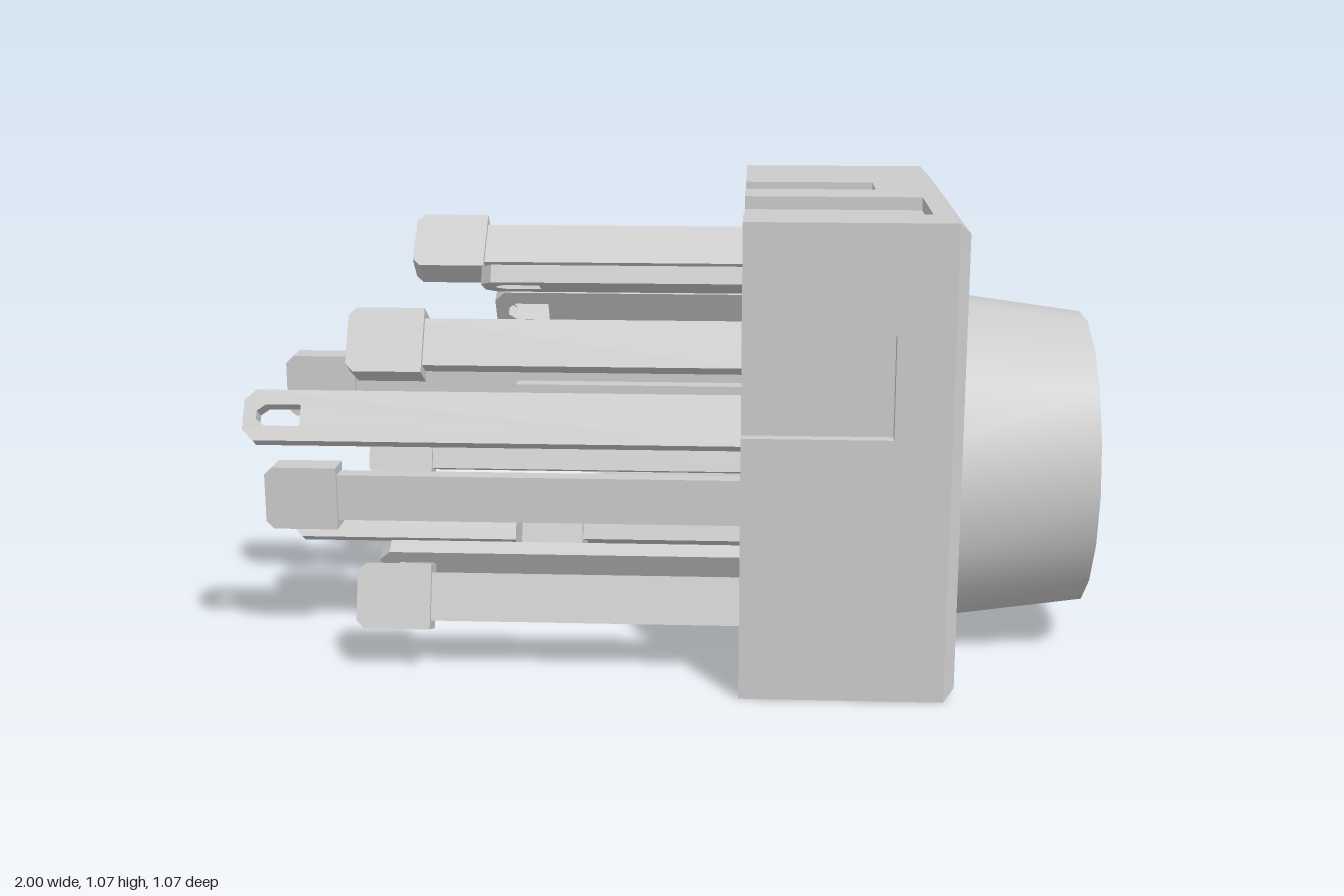
import * as THREE from 'three';
import { toCreasedNormals } from 'three/addons/utils/BufferGeometryUtils.js';
import { ConvexGeometry } from 'three/addons/geometries/ConvexGeometry.js';

const material = new THREE.MeshStandardMaterial({ color: 0xcccccc });
const flat = new THREE.MeshStandardMaterial({ color: 0xcccccc, flatShading: true });

const REAR = 0.19, BEVEL = 0.645, FACE = 0.67, HEIGHT = 1.07, HALF = HEIGHT / 2, NOTCH = 0.03;

function add(parent, name, geometry, mat = flat) {
  const mesh = new THREE.Mesh(geometry, mat);
  mesh.name = name;
  parent.add(mesh);
  return mesh;
}

const polygon = (points, Type = THREE.Shape) =>
  new Type(points.map(([x, y]) => new THREE.Vector2(x, y)));

const extrude = (shape, depth) =>
  new THREE.ExtrudeGeometry(shape, { depth, bevelEnabled: false });

// Side wall of the housing, with notches [from, to, inner x] open to the rear
function wall(from, to, notches) {
  const points = [[BEVEL, from], [BEVEL, to], [REAR, to]];
  for (const [a, b, x] of notches) points.push([REAR, b], [x, b], [x, a], [REAR, a]);
  points.push([REAR, from]);
  return extrude(polygon(points), NOTCH);
}

// Flat bar along x with its free end chamfered, optionally with an eyelet
function bar(tip, end, width, thick, chamfer, eyelet) {
  const w = width / 2;
  const shape = polygon([
    [end, -w], [end, w], [tip + chamfer, w], [tip, w - chamfer],
    [tip, chamfer - w], [tip + chamfer, -w],
  ]);
  if (eyelet) {
    const h = 0.025, a = tip + 0.03, b = tip + 0.13;
    shape.holes.push(polygon([
      [a, -0.01], [a + 0.02, -h], [b, -h], [b, h], [a + 0.02, h], [a, 0.01],
    ], THREE.Path));
  }
  return extrude(shape, thick).translate(0, 0, -thick / 2);
}

function createHousing() {
  const group = new THREE.Group();
  group.name = 'housing';
  const inner = HEIGHT - 2 * NOTCH;
  add(group, 'housingCore', new THREE.BoxGeometry(BEVEL - REAR, inner, inner)
    .translate((BEVEL + REAR) / 2, HALF, 0));

  // Notched walls, notches listed in order of descending position
  add(group, 'topWall', wall(-HALF, HALF, [[0.11, 0.4, 0.6], [-0.17, -0.03, 0.5]])
    .rotateX(Math.PI / 2).translate(0, HEIGHT, 0));
  add(group, 'bottomWall', wall(-HALF, HALF, [[-0.33, 0.03, 0.52]])
    .rotateX(Math.PI / 2).translate(0, NOTCH, 0));
  add(group, 'frontWall', wall(NOTCH, HEIGHT - NOTCH, [[0.6, 0.83, 0.52]])
    .translate(0, 0, HALF - NOTCH));
  add(group, 'backWall', wall(NOTCH, HEIGHT - NOTCH,
    [[0.8, 0.88, 0.635], [0.52, 0.69, 0.46], [0.06, 0.35, 0.58]])
    .translate(0, 0, -HALF));

  // Bevelled face plate
  const r = HALF * Math.SQRT2;
  add(group, 'facePlate', new THREE.CylinderGeometry(r - 0.025 * Math.SQRT2, r, FACE - BEVEL, 4)
    .rotateY(Math.PI / 4).rotateZ(-Math.PI / 2).translate((FACE + BEVEL) / 2, HALF, 0));
  return group;
}

function createKnob() {
  const group = new THREE.Group();
  group.name = 'knob';
  // Tapered body with a shallow dished end
  const profile = [[0.397, FACE], [0.352, 1], [0.24, 1], [0.18, 0.975], [0, 0.975]]
    .map(([r, x]) => new THREE.Vector2(r, x));
  const lathe = new THREE.LatheGeometry(profile, 18).rotateZ(-Math.PI / 2).translate(0, 0.428, 0);
  add(group, 'knobBody', toCreasedNormals(lathe, 0.5), material);

  // Pointer ridge between a wide base and a narrow tip, as [z, y] sections
  const base = [[-0.2, 0.771], [-0.27, 0.783], [-0.297, 0.757], [-0.296, 0.66], [-0.2, 0.65]];
  const front = [[-0.18, 0.731], [-0.246, 0.731], [-0.256, 0.717], [-0.266, 0.654], [-0.19, 0.65]];
  add(group, 'pointer', new ConvexGeometry([
    ...base.map(([z, y]) => new THREE.Vector3(FACE, y, z)),
    ...front.map(([z, y]) => new THREE.Vector3(0.999, y, z)),
  ]));
  return group;
}

// Bare terminals: tip x, y, z, twist in degrees
const BLADES = [
  [-1, 0.16, -0.275, -30], [-0.94, 0.59, 0.36, -30], [-0.4, 0.9, 0.27, 70],
  [-0.15, 0.83, -0.375, 42], [-0.58, 0.54, -0.39, -50], [-0.58, 0.62, -0.295, 30],
  [-0.73, 0.435, -0.21, -10], [-0.42, 0.77, -0.08, 30], [-0.69, 0.16, 0.1, 30],
  [-0.37, 0.57, 0.15, 0],
];

// Sleeved terminals: tip x, y, z, twist in degrees
const SLEEVES = [
  [-0.6, 0.925, 0, -45], [-0.69, 0.765, 0.37, -30], [-0.935, 0.365, 0.215, 0],
  [-0.935, 0.58, -0.035, 0], [-0.69, 0.17, 0.37, -18], [-0.82, 0.31, -0.425, -20],
  [-0.39, 0.795, -0.215, -30], [-0.38, 0.185, -0.1, 70],
];

function terminal(name, [, y, z, twist]) {
  const group = new THREE.Group();
  group.name = name;
  group.position.set(0, y, z);
  group.rotation.x = THREE.MathUtils.degToRad(twist);
  return group;
}

export function createModel() {
  const model = new THREE.Group();
  model.name = 'rotarySwitch';
  model.add(createHousing(), createKnob());
  for (const spec of BLADES) {
    const group = terminal('bladeTerminal', spec);
    add(group, 'blade', bar(spec[0], REAR + 0.01, 0.12, 0.04, 0.025, true));
    model.add(group);
  }
  for (const spec of SLEEVES) {
    const group = terminal('sleevedTerminal', spec);
    add(group, 'blade', bar(spec[0] + 0.1, REAR + 0.01, 0.11, 0.045, 0.01, false));
    add(group, 'sleeve', bar(spec[0], spec[0] + 0.17, 0.15, 0.07, 0.018, false));
    model.add(group);
  }
  return model;
}
